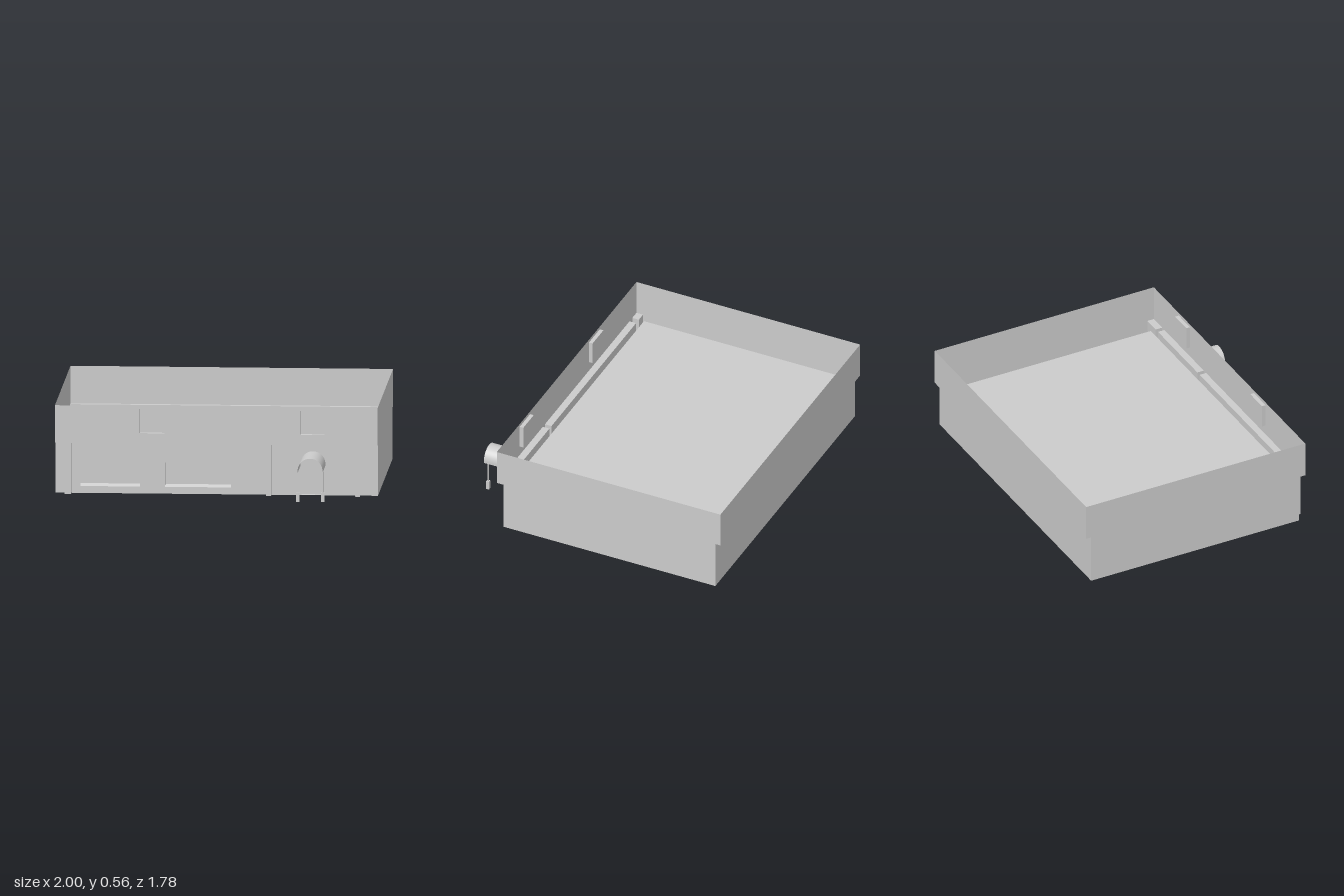
import * as THREE from 'three';

const TOP = 0.555, LEDGE = 0.32;             // parapet top, underside of the fascia
const FRONT = 0.645, WALL = 0.6, INNER = 0.57; // front fascia, lower wall, glass plane
const BACK = -0.89, BACK_WALL = -0.855;

const material = new THREE.MeshStandardMaterial({ color: 0xcccccc, side: THREE.DoubleSide });

function add(parent, name, geometry) {
  const mesh = new THREE.Mesh(geometry, material);
  mesh.name = name;
  parent.add(mesh);
  return mesh;
}

// Flat-shaded sheet made of four-cornered faces
function quads(list) {
  const pos = [];
  for (const [a, b, c, d] of list) pos.push(...a, ...b, ...c, ...a, ...c, ...d);
  const g = new THREE.BufferGeometry();
  g.setAttribute('position', new THREE.Float32BufferAttribute(pos, 3));
  g.computeVertexNormals();
  return g;
}

// Upright panel facing +z with rectangular openings [x0, x1, y0, y1]
function panel(x0, x1, y0, y1, z, openings = []) {
  const rect = (T, a, b, c, d) => {
    const p = new T();
    p.moveTo(a, c).lineTo(b, c).lineTo(b, d).lineTo(a, d).closePath();
    return p;
  };
  const shape = rect(THREE.Shape, x0, x1, y0, y1);
  for (const o of openings) shape.holes.push(rect(THREE.Path, ...o));
  return new THREE.ShapeGeometry(shape).translate(0, 0, z);
}

// Recessed opening: back pane, two jambs, head and a sill sloping up by `rise`
function recess([x0, x1, y0, y1], zFront, zBack, rise = 0) {
  const f = [[x0, y0, zFront], [x1, y0, zFront], [x1, y1, zFront], [x0, y1, zFront]];
  const b = [[x0, y0 + rise, zBack], [x1, y0 + rise, zBack], [x1, y1, zBack], [x0, y1, zBack]];
  const faces = [b];
  for (let i = 0; i < 4; i++) {
    const j = (i + 1) % 4;
    faces.push([f[i], f[j], b[j], b[i]]);
  }
  return quads(faces);
}

export function createModel() {
  const model = new THREE.Group();
  model.name = 'shopBuilding';

  // Solid core with the flat roof
  const core = new THREE.BoxGeometry(1.83, LEDGE, 1.355);
  add(model, 'flatRoofCore', core.translate(-0.025, LEDGE / 2, -0.1125));

  // Side walls, stepped where the fascia overhangs front and back
  const profile = [[FRONT, TOP], [FRONT, LEDGE], [WALL, LEDGE], [WALL, 0],
    [BACK_WALL, 0], [BACK_WALL, LEDGE], [BACK, LEDGE], [BACK, TOP]];
  for (const side of [-1, 1]) {
    const shape = new THREE.Shape(profile.map(([z, y]) => new THREE.Vector2(-z, y)));
    const g = new THREE.ShapeGeometry(shape).rotateY(Math.PI / 2);
    add(model, side > 0 ? 'leftWall' : 'rightWall', g.translate(side, 0, 0));
  }

  // Back wall, ledge and parapet
  const backLine = [[0, BACK_WALL], [LEDGE, BACK_WALL], [LEDGE, BACK], [TOP, BACK]];
  add(model, 'backWall', quads(backLine.slice(1).map(([y, z], i) => {
    const [y0, z0] = backLine[i];
    return [[1, y0, z0], [-1, y0, z0], [-1, y, z], [1, y, z]];
  })));

  // Front fascia with two square niches
  const niches = [[-0.475, -0.32, 0.385, 0.535], [0.523, 0.672, 0.385, 0.535]];
  add(model, 'frontFascia', panel(-1, 1, LEDGE, TOP, FRONT, niches));
  for (const n of niches) add(model, 'fasciaNiche', recess(n, FRONT, 0.62));

  // Lower front wall bays with the ledge above each
  const windows = [[-0.845, -0.475, 0.043, 0.197], [-0.32, 0.09, 0.043, 0.197]];
  const door = [0.525, 0.67, 0.001, 0.187];
  const bays = [[-1, -0.94, []], [-0.9, 0.31, windows], [0.34, 0.86, [door]], [0.89, 1, []]];
  for (const [x0, x1, openings] of bays) {
    add(model, 'frontWallBay', panel(x0, x1, 0, LEDGE, WALL, openings));
    add(model, 'frontLedge', quads([
      [[x0, LEDGE, WALL], [x1, LEDGE, WALL], [x1, LEDGE, FRONT], [x0, LEDGE, FRONT]],
    ]));
  }
  for (const w of windows) add(model, 'shopWindow', recess(w, WALL, INNER, 0.014));
  add(model, 'door', recess(door, WALL, INNER));

  // Hollow pilasters between the bays
  for (const [x0, x1] of [[-0.94, -0.9], [0.31, 0.34], [0.86, 0.89]]) {
    const plan = [[x0, WALL], [x0, FRONT], [x1, FRONT], [x1, WALL]];
    add(model, 'pilaster', quads(plan.slice(1).map(([x, z], i) => {
      const [xa, za] = plan[i];
      return [[xa, 0, za], [x, 0, z], [x, LEDGE, z], [xa, LEDGE, za]];
    })));
  }

  // Barrel canopy over the door
  const canopy = new THREE.Group();
  canopy.name = 'canopy';
  canopy.position.x = 0.597;
  model.add(canopy);
  const r = 0.077, spring = 0.198, depth = 0.89 - WALL;
  const vault = new THREE.CylinderGeometry(r, r, depth, 24, 1, true, -Math.PI / 2, Math.PI);
  vault.rotateX(-Math.PI / 2).translate(0, spring, WALL + depth / 2);
  // keep the curved half upwards
  vault.computeBoundingBox();
  if (vault.boundingBox.min.y < spring - 0.01) vault.translate(0, -spring, 0).rotateZ(Math.PI).translate(0, spring, 0);
  add(canopy, 'canopyVault', vault);
  for (const side of [-1, 1]) {
    const x = side * r;
    add(canopy, 'canopySkirt', quads([
      [[x, 0.185, WALL], [x, 0.185, 0.89], [x, spring, 0.89], [x, spring, WALL]],
    ]));
    add(canopy, 'canopyPost', new THREE.BoxGeometry(0.006, 0.14, 0.006).translate(x, 0.12, 0.86));
    add(canopy, 'postBase', new THREE.BoxGeometry(0.02, 0.058, 0.02).translate(x, 0.029, 0.86));
  }
  return model;
}
